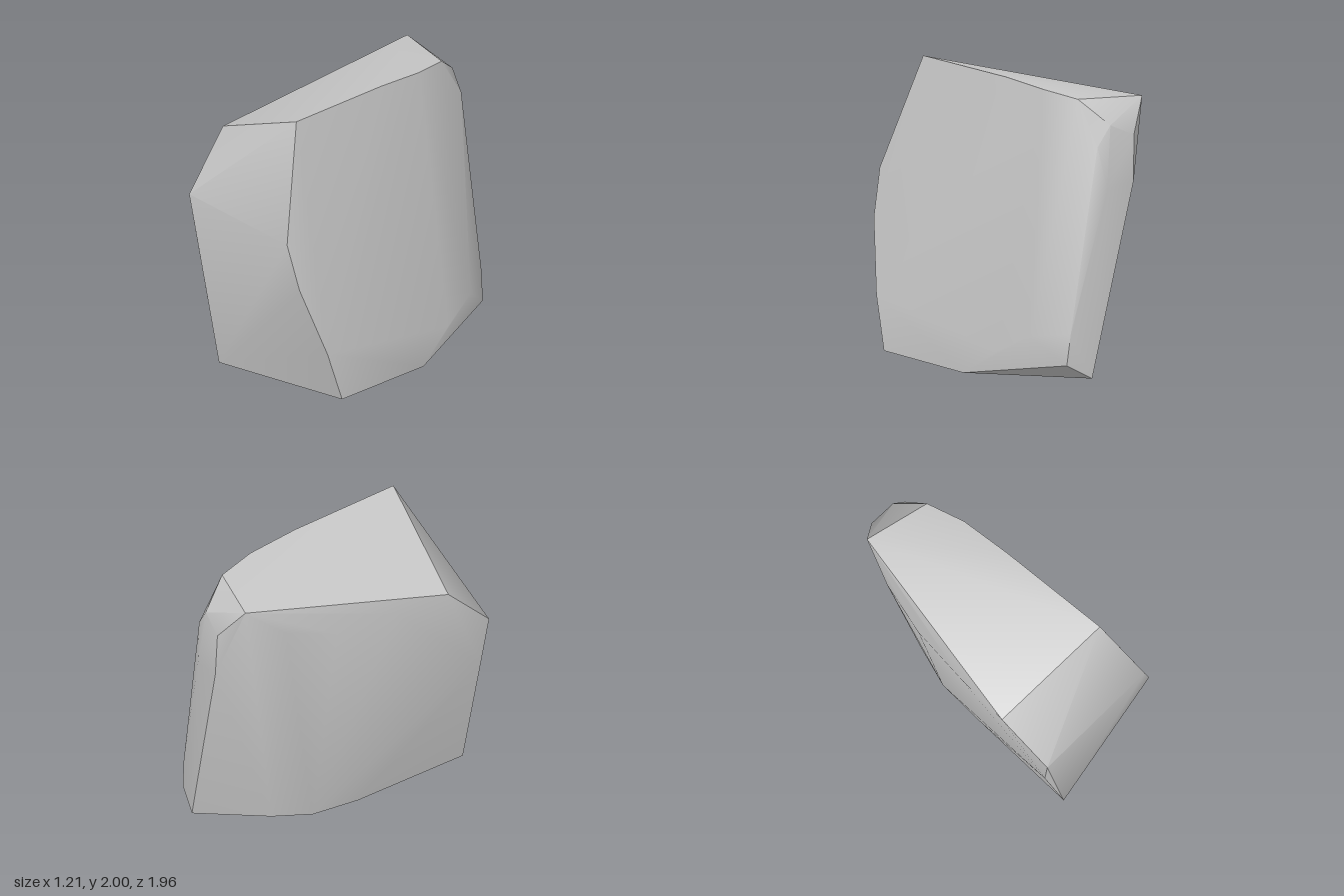
import * as THREE from 'three';
import { ConvexGeometry } from 'three/addons/geometries/ConvexGeometry.js';
import { toCreasedNormals } from 'three/addons/utils/BufferGeometryUtils.js';

// Outlines of the boulder's facets, joined by a convex skin
const outlines = {
  topRidge: [
    [0.22, 2, 0.7], [0.15, 1.97, -0.11], [0.11, 1.935, -0.48], [0.03, 1.9, -0.75],
  ],
  topLeftRim: [
    [-0.61, 1.63, 0.62], [-0.6, 1.61, 0.22], [-0.43, 1.89, -0.85],
  ],
  leftBulge: [
    [-0.565, 1.58, -0.22], [-0.505, 1.68, -0.58],
  ],
  frontLeftEdge: [
    [-0.54, 1.27, 0.98], [-0.515, 0.92, 0.93], [-0.32, 0.08, 0.91],
  ],
  frontRightEdge: [
    [0.4, 1.23, 0.94], [0.48, 0.91, 0.9], [0.58, 0.42, 0.74], [0.6, 0.06, 0.63],
  ],
  rightBulge: [
    [0.46, 0.2, -0.43], [0.39, 0.33, -0.69],
  ],
  backEdges: [
    [-0.09, 1.74, -0.95], [0.01, 1.6, -0.94], [-0.04, 1.32, -0.98],
    [-0.27, 1.66, -0.97], [-0.26, 1.35, -0.98],
    [0.225, 0.36, -0.93], [0.25, 0.15, -0.92], [0.07, 0.05, -0.96],
  ],
  base: [
    [0.53, 0.02, -0.15], [-0.31, 0, 0.1], [-0.31, 0.01, -0.25], [-0.24, 0.05, -0.53],
  ],
};

export function createModel() {
  const stone = new THREE.MeshStandardMaterial({ color: 0xc6c6c6 });
  stone.name = 'light grey stone';

  const points = Object.values(outlines).flat().map((p) => new THREE.Vector3(...p));
  // Broad faces shade smoothly, strong edges stay sharp
  const geometry = toCreasedNormals(new ConvexGeometry(points), THREE.MathUtils.degToRad(34));

  const boulder = new THREE.Mesh(geometry, stone);
  boulder.name = 'boulder';
  const group = new THREE.Group();
  group.name = 'rock';
  group.add(boulder);
  return group;
}
